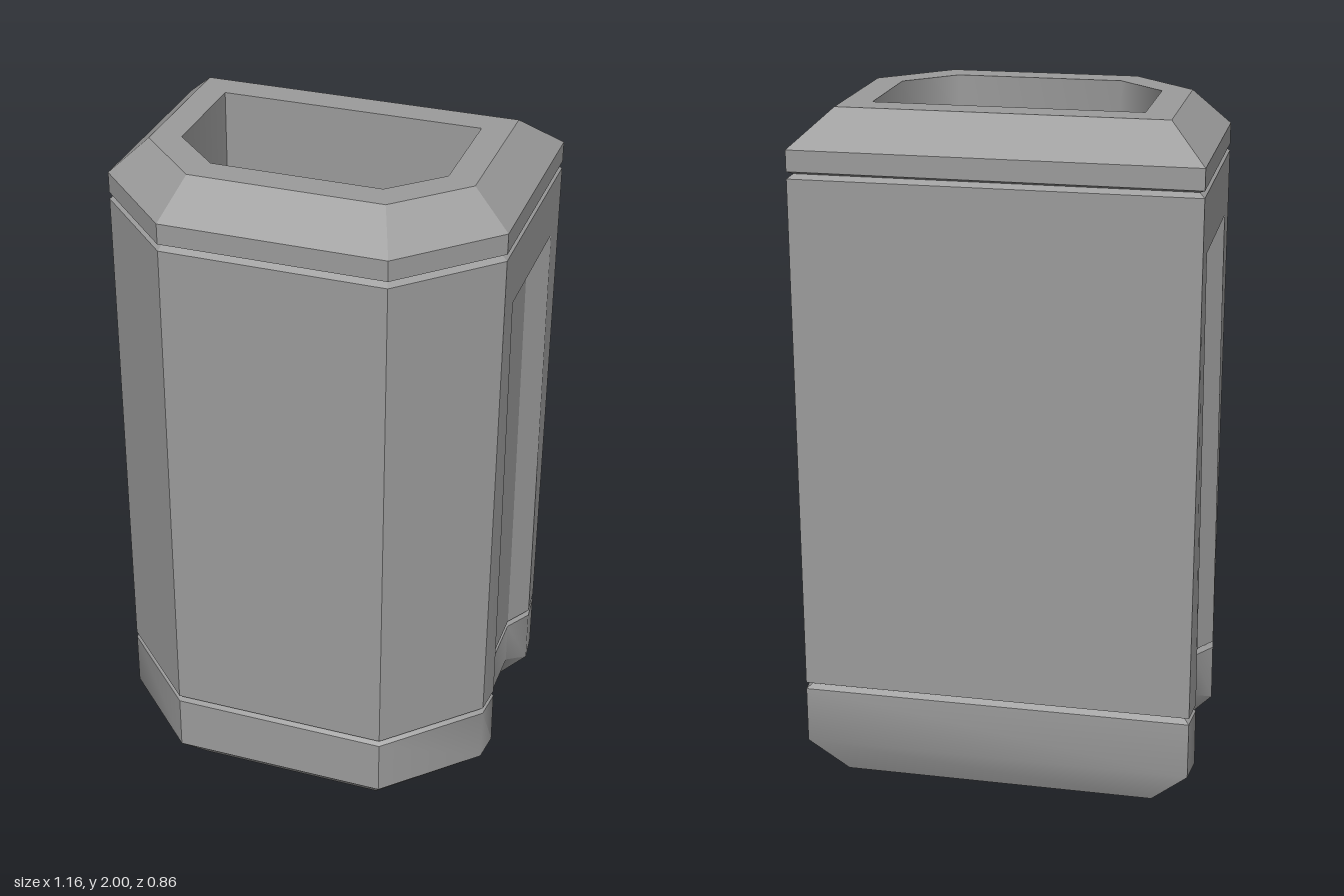
import * as THREE from 'three';
import { toCreasedNormals } from 'three/addons/utils/BufferGeometryUtils.js';

const material = new THREE.MeshStandardMaterial({ color: 0x9b9b9b });
const DEPTH = 0.048; // depth of the side channels

// Mirror the left half of a section (front to back) into a closed ring
function mirror(half) {
  return [...half, ...half.map(([x, y, z]) => [-x, y, z]).reverse()];
}

// One horizontal section: inset shrinks the outline, channel (0 or 1) opens the side recess
function ring(y, inset = 0, channel = 0, lift = 0) {
  const back = -0.43 + 1.08 * inset;
  const side = 0.57 - inset;
  const corner = 0.18 - 0.43 * inset;
  const lip = side + channel * 0.01 * (1.65 - y) / 1.54; // channel edges flare slightly downward
  const deep = lip - channel * DEPTH;
  const rear = Math.max(-0.34, back);
  return mirror([
    [0.32 - 0.41 * inset, y, 0.428 - 1.04 * inset],
    [side, y, corner],
    [lip, y, Math.min(0.09, corner)],
    [deep, y + lift, channel ? 0.02 : Math.min(0.09, corner)],
    [deep, y + lift, channel ? -0.26 : rear],
    [lip, y, rear],
    [side, y, back],
  ]);
}

// Underside outline, raised where the cross groove runs through
const underside = mirror([
  [0.28, 0, 0.32], [0.46, 0, 0.14], [0.465, 0.01, 0.05], [0.455, 0.07, -0.03],
  [0.455, 0.07, -0.22], [0.465, 0.01, -0.3], [0.46, 0, -0.38],
]);

function quad(out, a, b, c, d) {
  for (const tri of [[a, b, c], [a, c, d]]) {
    const [p, q, r] = tri.map((v) => new THREE.Vector3(...v));
    if (q.sub(p).cross(r.sub(p)).length() > 1e-7) out.push(...tri.flat());
  }
}

function loft(out, rings) {
  for (let k = 0; k + 1 < rings.length; k++) {
    const a = rings[k], b = rings[k + 1], n = a.length;
    for (let i = 0; i < n; i++) {
      const j = (i + 1) % n;
      quad(out, a[i], b[i], b[j], a[j]);
    }
  }
}

// Close a ring with strips running from side to side
function cap(out, r, up) {
  const n = r.length;
  for (let i = 0; i + 1 < n / 2; i++) {
    const c = [r[i], r[i + 1], r[n - 2 - i], r[n - 1 - i]];
    quad(out, ...(up ? c : c.reverse()));
  }
}

// crease is the angle in degrees below which neighbouring faces shade smoothly
function part(name, rings, crease, { floor, bottom } = {}) {
  const out = [];
  if (floor) cap(out, rings[0], true);
  loft(out, rings);
  if (bottom) cap(out, rings[rings.length - 1], false);
  const geometry = new THREE.BufferGeometry();
  geometry.setAttribute('position', new THREE.Float32BufferAttribute(out, 3));
  const mesh = new THREE.Mesh(toCreasedNormals(geometry, THREE.MathUtils.degToRad(crease)), material);
  mesh.name = name;
  return mesh;
}

export function createModel() {
  const group = new THREE.Group();
  group.name = 'container';
  const G = 0.015; // depth of the seam grooves
  const upperSeam = ring(1.832, G);
  const lowerSeam = ring(0.292, G, 1);
  group.add(
    // Hollow inside with softly shaded front corners
    part('cavity', [ring(0.3, 0.19), ring(2, 0.19)], 50, { floor: true }),
    // Flat rim, bevelled shoulder and collar
    part('collar', [ring(2, 0.19), ring(2, 0.107), ring(1.9), ring(1.84), upperSeam], 10),
    // Main walls with a recessed channel on each side
    part('body', [upperSeam, ring(1.82), ring(1.65), ring(1.57, 0, 1), ring(0.3, 0, 1), lowerSeam], 10),
    // Bevelled foot with a soft groove across its underside
    part('base', [lowerSeam, ring(0.28, 0, 1), ring(0.11, 0, 1, 0.035), underside], 40, { bottom: true }),
  );
  return group;
}
